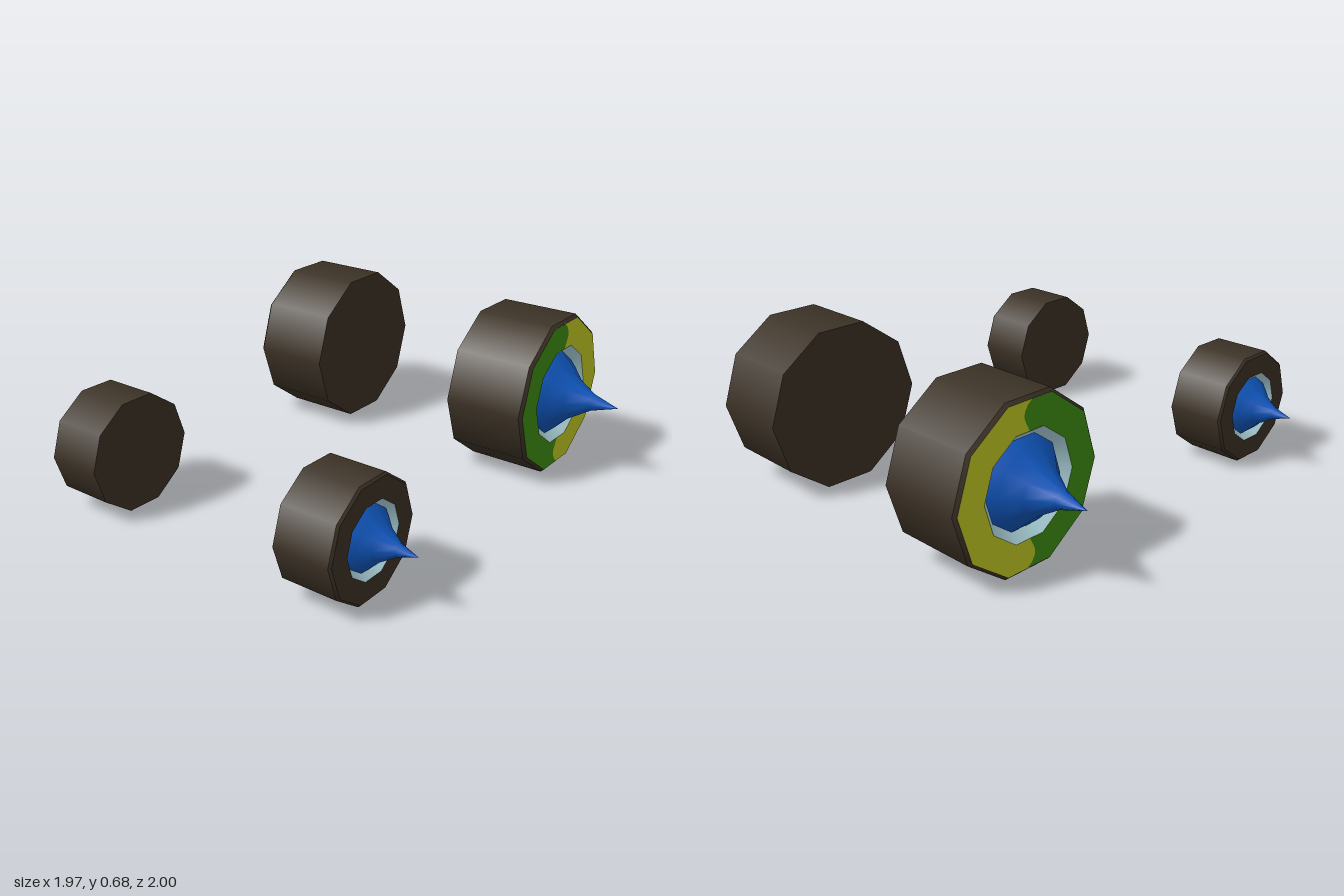
import * as THREE from 'three';
import { mergeGeometries } from 'three/addons/utils/BufferGeometryUtils.js';

const SIDES = 10;
const R = 0.357, FACE_R = 0.344, WIDTH = 0.36, HUB_R = 0.22, SPIKE_R = 0.185;

const mat = (name, color, side = THREE.FrontSide) => {
  const m = new THREE.MeshStandardMaterial({ color, side });
  m.name = name;
  return m;
};

// Ten-sided lathe about x; the outer wheel face lies at x = 0. Points are [radius, x].
function turned(points) {
  const g = new THREE.LatheGeometry(points.map(([r, x]) => new THREE.Vector2(r, x)), SIDES);
  return g.rotateZ(-Math.PI / 2);
}

// Each profile segment becomes its own lathe, so edges between them stay sharp.
function turnedSharp(points) {
  const parts = [];
  for (let i = 0; i < points.length - 1; i++) parts.push(turned([points[i], points[i + 1]]));
  return mergeGeometries(parts);
}

// Wavy border between the two painted halves, [u, v] from rim to hub.
const WAVE = [[-0.01, 0.327], [0.012, 0.31], [0.027, 0.285], [0.028, 0.262], [0.018, 0.24], [0.002, 0.209]];

// Half of the painted ring; flip mirrors it across the wheel.
function paintedHalf(sign, flip) {
  const corners = (r) => [2, 1, 0, -1, -2].map((i) => {
    const a = (i * Math.PI * 2) / SIDES;
    return [sign * r * Math.cos(a), r * Math.sin(a)];
  });
  const lower = WAVE.map(([u, v]) => [-u, -v]);
  const outline = [
    ...[...WAVE].reverse(), ...corners(FACE_R),
    ...lower, ...corners(HUB_R).reverse(),
  ];
  const shape = new THREE.Shape(outline.map(([u, v]) => new THREE.Vector2(flip ? -u : u, v)));
  return new THREE.ShapeGeometry(shape).rotateY(Math.PI / 2);
}

export function createModel() {
  const model = new THREE.Group();
  model.name = 'wheelSet';
  const tyreMat = mat('dark rubber', 0x3c3226);
  const hubMat = mat('pale blue metal', 0xb2dae2);
  const spikeMat = mat('blue metal', 0x1058c0);
  const greenMat = mat('green paint', 0x3e9010);
  const yellowMat = mat('yellow paint', 0xc8ce25);

  const add = (group, name, geometry, material) => {
    const mesh = new THREE.Mesh(geometry, material);
    mesh.name = name;
    group.add(mesh);
  };

  function wheel(name, side, scale, y, z, painted) {
    const group = new THREE.Group();
    group.name = name;

    // Tyre: inner cap, tread, chamfered edge and, where unpainted, the outer face
    const profile = [[0, -WIDTH], [R, -WIDTH], [R, -0.013], [FACE_R, 0]];
    if (!painted) profile.push([HUB_R, 0]);
    add(group, 'tyre', turnedSharp(profile), tyreMat);

    // Sunken hub bevel and the flared spike rising from it
    add(group, 'hubRing', turned([[HUB_R, 0], [SPIKE_R, -0.035]]), hubMat);
    add(group, 'hubSpike', turned([
      [SPIKE_R, -0.035], [0.155, 0], [0.096, 0.057], [0.037, 0.153], [0, 0.27],
    ]), spikeMat);

    if (painted) {
      add(group, 'greenHalf', paintedHalf(-1, side < 0), greenMat);
      add(group, 'yellowHalf', paintedHalf(1, side < 0), yellowMat);
    }

    group.scale.setScalar(scale);
    group.rotation.y = side > 0 ? 0 : Math.PI;
    group.position.set(side * 0.715, y, z);
    model.add(group);
  }

  for (const side of [1, -1]) {
    const label = side > 0 ? 'Left' : 'Right';
    wheel('rearWheel' + label, side, 1, 0.348, -0.643, true);
    wheel('frontWheel' + label, side, 0.7, 0.25, 0.75, false);
  }
  return model;
}
